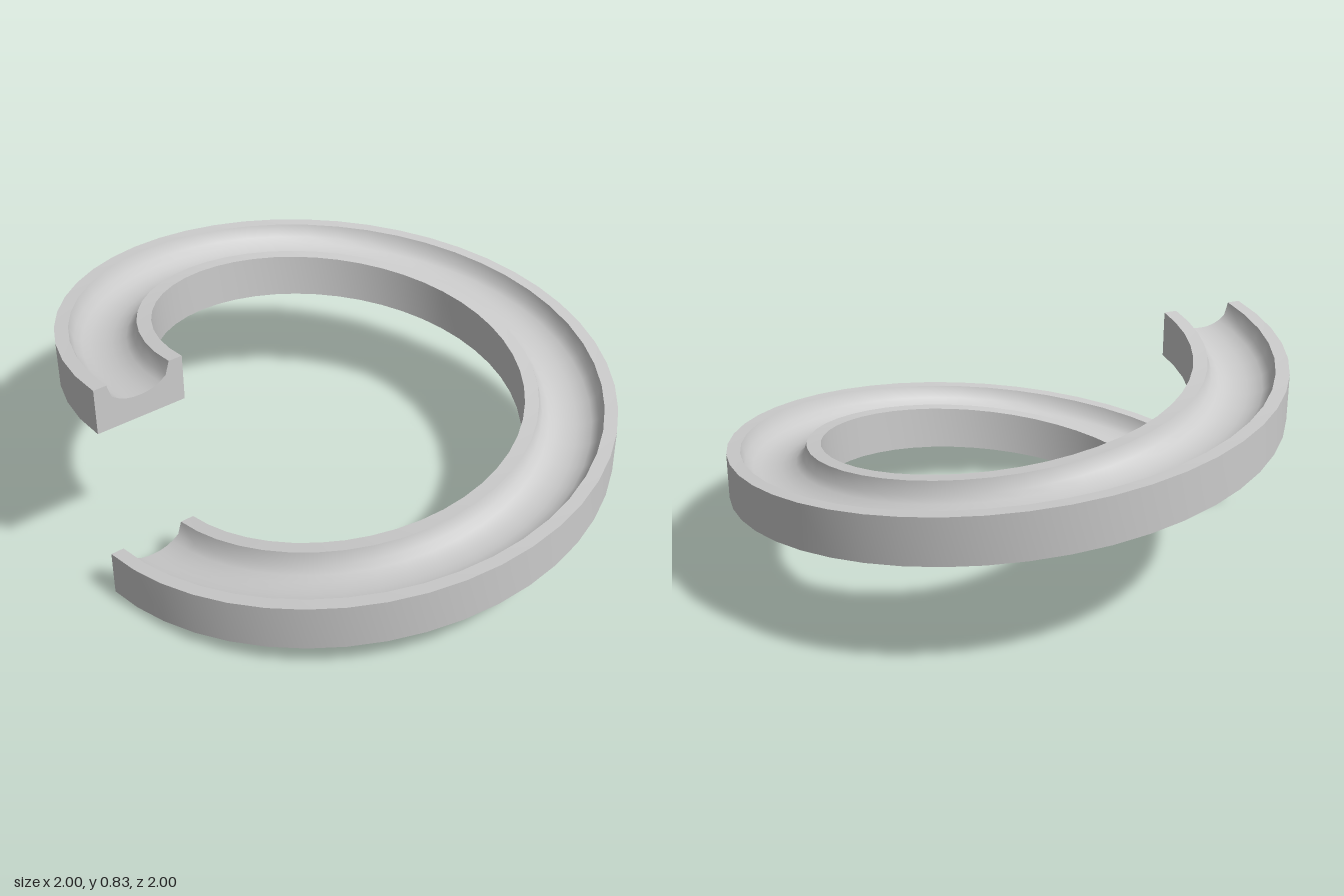
import * as THREE from 'three';
import { toCreasedNormals } from 'three/addons/utils/BufferGeometryUtils.js';

const STEPS = 48, RISE = 2 / 3, INNER = 0.667, HEIGHT = 0.167;

// Channel cross-section as (radius, height), counter-clockwise
function channelProfile() {
  const points = [[INNER, 0], [1, 0], [1, HEIGHT], [0.952, HEIGHT]];
  // Rounded groove floor between two steep walls
  for (let i = 0; i <= 8; i++) {
    const u = 1 - i / 4;
    points.push([0.835 + 0.102 * u, 0.084 + 0.035 * Math.pow(Math.abs(u), 2.4)]);
  }
  points.push([0.718, HEIGHT], [INNER, HEIGHT]);
  return points.map(([r, y]) => new THREE.Vector2(r, y));
}

// Sweep a profile through one full turn of a rising helix and cap both ends
function helixSweep(profile) {
  const n = profile.length, positions = [], index = [];
  for (let i = 0; i <= STEPS; i++) {
    const t = i / STEPS, a = t * Math.PI * 2;
    for (const p of profile) {
      positions.push(p.x * Math.sin(a), p.y + t * RISE, p.x * Math.cos(a));
    }
  }
  for (let i = 0; i < STEPS; i++) {
    for (let j = 0; j < n; j++) {
      const k = (j + 1) % n;
      const a = i * n + j, b = a + n, c = i * n + k, d = c + n;
      index.push(a, b, c, b, d, c);
    }
  }
  const last = STEPS * n;
  for (const [a, b, c] of THREE.ShapeUtils.triangulateShape(profile, [])) {
    index.push(a, b, c, last + a, last + c, last + b);
  }
  const geometry = new THREE.BufferGeometry();
  geometry.setAttribute('position', new THREE.Float32BufferAttribute(positions, 3));
  geometry.setIndex(index);
  return toCreasedNormals(geometry, 0.85);
}

export function createModel() {
  const group = new THREE.Group();
  group.name = 'spiralTrack';
  const material = new THREE.MeshStandardMaterial({ color: 0xcccccc });
  const channel = new THREE.Mesh(helixSweep(channelProfile()), material);
  channel.name = 'helicalChannel';
  group.add(channel);
  return group;
}
